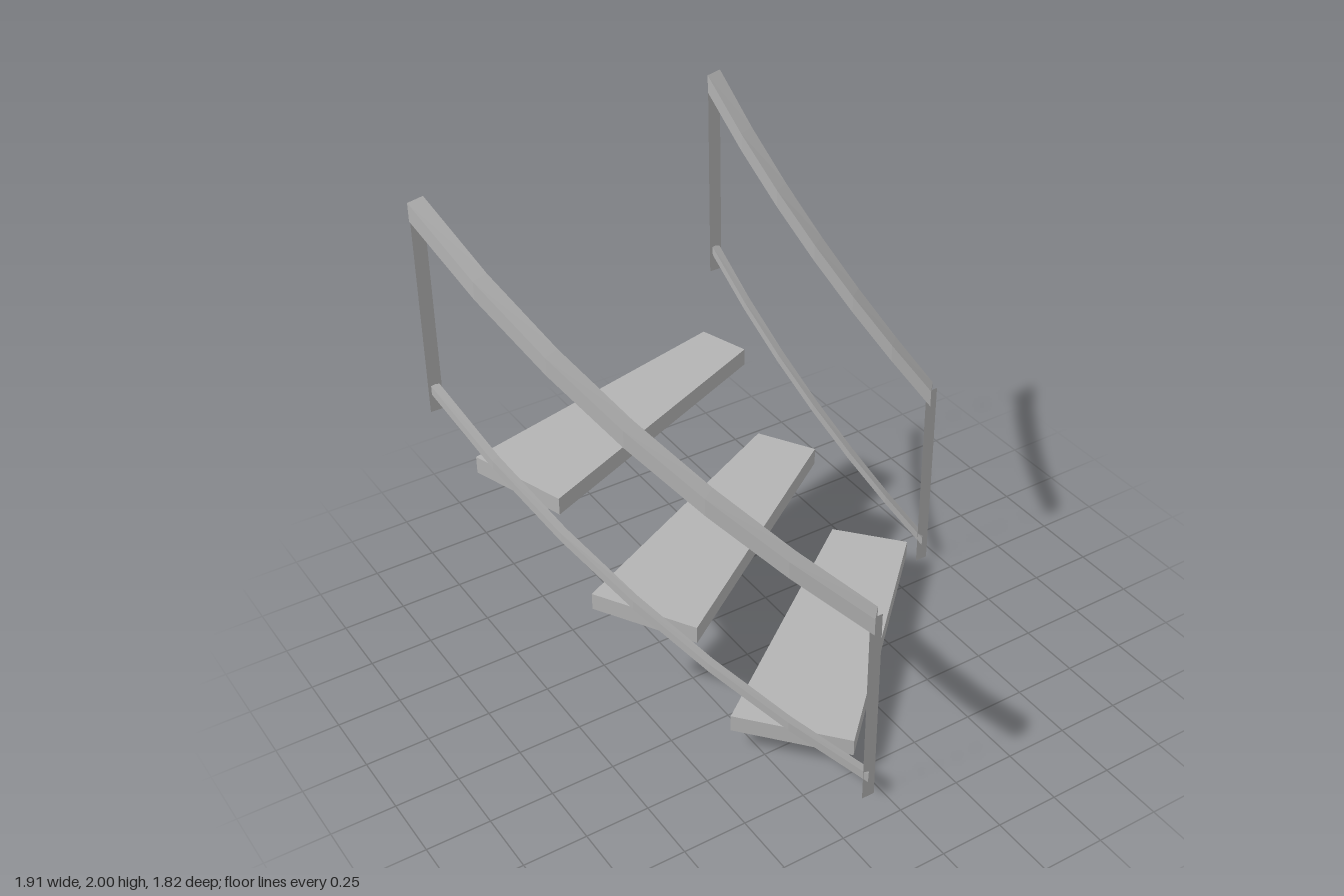
import * as THREE from 'three';

const CENTRE = { x: 2.033, z: -1.338 }; // axis the stair turns around
const DEG = Math.PI / 180;

// Helical bar of rectangular section, falling from yTop to yBottom
function helicalBar(radius, a0, a1, yTop, yBottom, width, height, segments = 6) {
  const rings = [];
  for (let i = 0; i <= segments; i++) {
    const t = i / segments;
    const a = (a0 + (a1 - a0) * t) * DEG;
    const y = yTop + (yBottom - yTop) * t;
    rings.push([[-1, -1], [1, -1], [1, 0], [-1, 0]].map(([side, level]) => {
      const r = radius + side * width / 2;
      return [CENTRE.x - r * Math.cos(a), y + level * height, CENTRE.z + r * Math.sin(a)];
    }));
  }
  const pos = [];
  const quad = (a, b, c, d) => pos.push(...a, ...b, ...c, ...a, ...c, ...d);
  for (let i = 0; i < segments; i++) {
    for (let k = 0; k < 4; k++) {
      const n = (k + 1) % 4;
      quad(rings[i][k], rings[i + 1][k], rings[i + 1][n], rings[i][n]);
    }
  }
  quad(...rings[0]);
  quad(...[...rings[segments]].reverse());
  const g = new THREE.BufferGeometry();
  g.setAttribute('position', new THREE.Float32BufferAttribute(pos, 3));
  g.computeVertexNormals();
  return g;
}

export function createModel() {
  const model = new THREE.Group();
  model.name = 'curvedStair';
  const grey = new THREE.MeshStandardMaterial({ color: 0xb4b4b4, side: THREE.DoubleSide });
  grey.name = 'grey';

  const add = (name, geometry, parent = model) => {
    const mesh = new THREE.Mesh(geometry, grey);
    mesh.name = name;
    parent.add(mesh);
    return mesh;
  };

  // Treads: corners as [x, z] in order outer back, outer front, inner front, inner back
  const treads = [
    { y: 0.09, c: [[-0.337, 0.405], [-0.035, 0.757], [0.82, -0.07], [0.615, -0.305]] },
    { y: 0.47, c: [[-0.63, -0.07], [-0.41, 0.3], [0.567, -0.375], [0.437, -0.59]] },
    { y: 0.85, c: [[-0.81, -0.575], [-0.68, -0.185], [0.41, -0.65], [0.345, -0.85]] },
  ];
  treads.forEach(({ y, c }, i) => {
    const step = new THREE.Group();
    step.name = `step${i + 1}`;
    model.add(step);

    const shape = new THREE.Shape(c.map(([x, z]) => new THREE.Vector2(x, -z)));
    const board = new THREE.ExtrudeGeometry(shape, { depth: 0.07, bevelEnabled: false });
    add('tread', board.rotateX(-Math.PI / 2), step).position.y = y;

    // Three cross battens under the board
    const [ob, of, inf, inb] = c.map(([x, z]) => new THREE.Vector2(x, z));
    const outer = ob.clone().lerp(of, 0.5);
    const inner = inf.clone().lerp(inb, 0.5);
    const turn = Math.atan2(outer.y - inner.y, inner.x - outer.x);
    for (const t of [0.135, 0.5, 0.865]) {
      const p = outer.clone().lerp(inner, t);
      const length = THREE.MathUtils.lerp(ob.distanceTo(of), inf.distanceTo(inb), t) - 0.05;
      const batten = add('batten', new THREE.BoxGeometry(0.028, 0.016, length), step);
      batten.position.set(p.x, y - 0.008, p.y);
      batten.rotation.y = turn;
    }
  });

  // Balustrades: handrail, lower rail and a flat post at each end
  const sides = [
    { name: 'outer', r: 3.046, a0: 13.8, a1: 46.7 },
    { name: 'inner', r: 1.651, a0: 15.2, a1: 48.1 },
  ];
  for (const { name, r, a0, a1 } of sides) {
    const balustrade = new THREE.Group();
    balustrade.name = `${name}Balustrade`;
    model.add(balustrade);
    add('handrail', helicalBar(r, a0, a1, 2, 0.855, 0.068, 0.07), balustrade);
    add('lowerRail', helicalBar(r, a0, a1, 1.26, 0.12, 0.034, 0.036), balustrade);
    for (const [a, y, label] of [[a0, 1.15, 'topPost'], [a1, 0, 'bottomPost']]) {
      const post = add(label, new THREE.PlaneGeometry(0.052, 0.84), balustrade);
      post.position.set(CENTRE.x - r * Math.cos(a * DEG), y + 0.42, CENTRE.z + r * Math.sin(a * DEG));
    }
  }
  return model;
}
